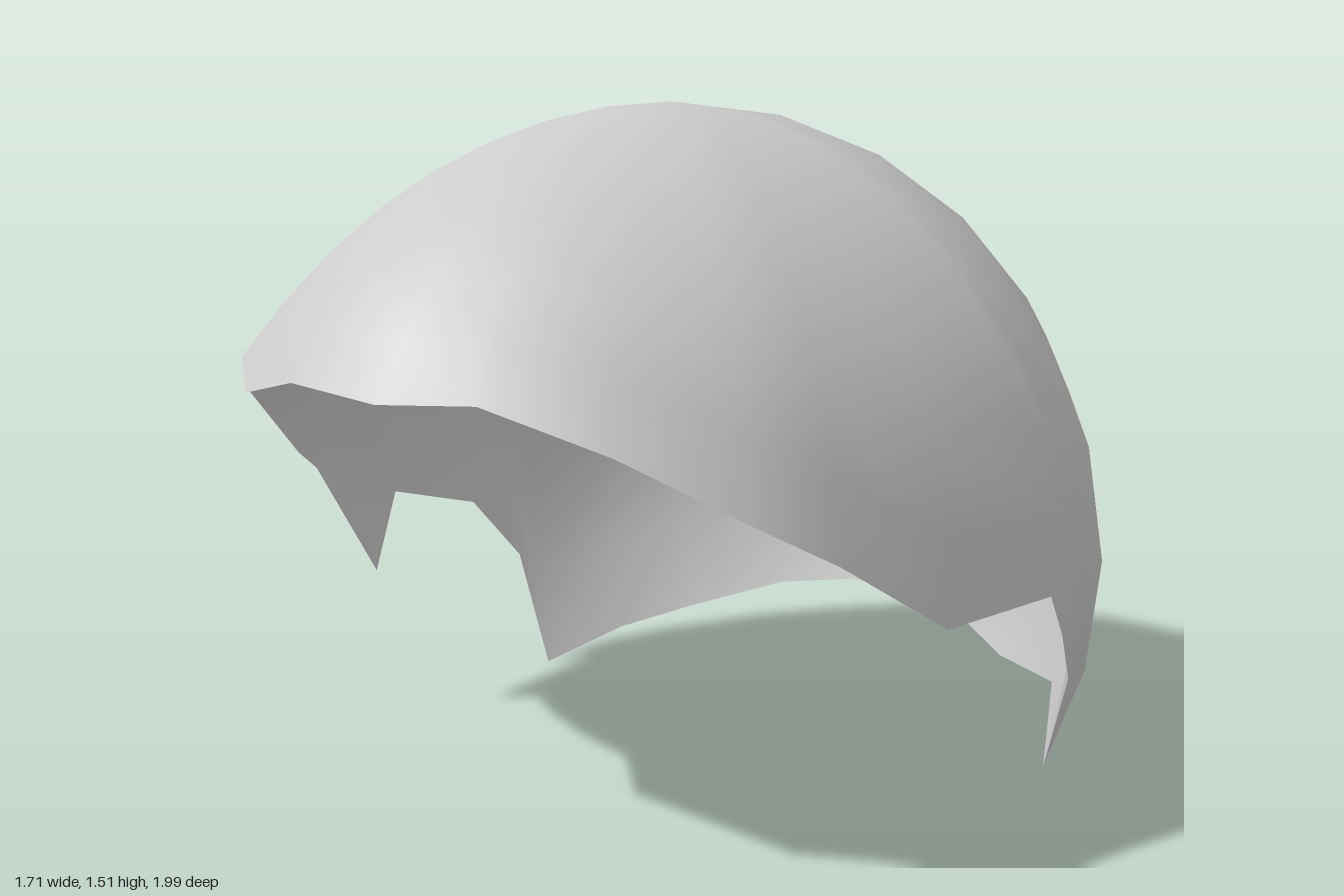
import * as THREE from 'three';

// Ragged rim, counted from the front centre round by the left, back and right
const RIM = [
  [0.1, 1.01, 1], [0.27, 1.015, 0.92], [0.48, 0.93, 0.8], [0.64, 0.8, 0.62],
  [0.72, 0.7, 0.45], [0.8, 0.53, 0.19], [0.855, 0.53, -0.13], [0.84, 0.42, -0.22],
  [0.81, 0.29, -0.32], [0.73, 0.05, -0.38], [0.6, 0.14, -0.67], [0.38, 0.12, -0.82],
  [0.13, 0.21, -0.93], [-0.14, 0.2, -0.93], [-0.33, 0.17, -0.87], [-0.53, 0.1, -0.72],
  [-0.64, 0.06, -0.55], [-0.72, 0, -0.34], [-0.8, 0.29, -0.32], [-0.85, 0.45, -0.2],
  [-0.855, 0.53, 0.07], [-0.78, 0.37, 0.21], [-0.81, 0.65, 0.36], [-0.73, 0.72, 0.48],
  [-0.64, 0.9, 0.68], [-0.51, 1.005, 0.8], [-0.34, 0.97, 0.93], [-0.14, 1.02, 0.985],
];
const ROWS = 8, MID_Y = 0.55, HEIGHT = 0.957, WIDTH = 0.862;
const FRONT = 1.275, BACK = 0.87, SHIFT = -0.13;

// Point of the egg-shaped dome; polar is measured from the crown, around from the front
function domePoint(polar, around) {
  const s = Math.sin(polar), c = Math.cos(polar);
  const w = s * Math.cos(around);
  return new THREE.Vector3(
    WIDTH * s * Math.sin(around) - 0.025 * Math.max(c, 0),
    MID_Y + HEIGHT * c,
    SHIFT * s + w * (w > 0 ? FRONT : BACK));
}

function domeGeometry() {
  const n = RIM.length;
  const positions = [...domePoint(0, 0).toArray()];
  const index = [];
  const meridians = RIM.map(([x, y, z]) => {
    const polar = Math.acos((y - MID_Y) / HEIGHT);
    const dz = z - SHIFT * Math.sin(polar);
    const around = Math.atan2(x / WIDTH, dz / (dz > 0 ? FRONT : BACK));
    const offset = new THREE.Vector3(x, y, z).sub(domePoint(polar, around));
    return { polar, around, offset };
  });

  // Rings from the crown down; the last one meets the rim exactly
  for (let r = 1; r <= ROWS; r++) {
    const t = r / ROWS;
    for (const { polar, around, offset } of meridians) {
      const p = domePoint(polar * t, around).addScaledVector(offset, t ** 4);
      positions.push(p.x, p.y, p.z);
    }
  }
  const at = (r, i) => 1 + (r - 1) * n + (i % n);
  for (let i = 0; i < n; i++) {
    index.push(0, at(1, i), at(1, i + 1));
    for (let r = 1; r < ROWS; r++) {
      const a = at(r, i), b = at(r, i + 1), c = at(r + 1, i), d = at(r + 1, i + 1);
      index.push(a, c, d, a, d, b);
    }
  }
  const geometry = new THREE.BufferGeometry();
  geometry.setAttribute('position', new THREE.Float32BufferAttribute(positions, 3));
  geometry.setIndex(index);
  geometry.computeVertexNormals();
  return geometry;
}

export function createModel() {
  const group = new THREE.Group();
  const material = new THREE.MeshStandardMaterial({ color: 0xcccccc, side: THREE.DoubleSide });
  const cap = new THREE.Mesh(domeGeometry(), material);
  cap.name = 'capShell';
  group.add(cap);
  return group;
}
